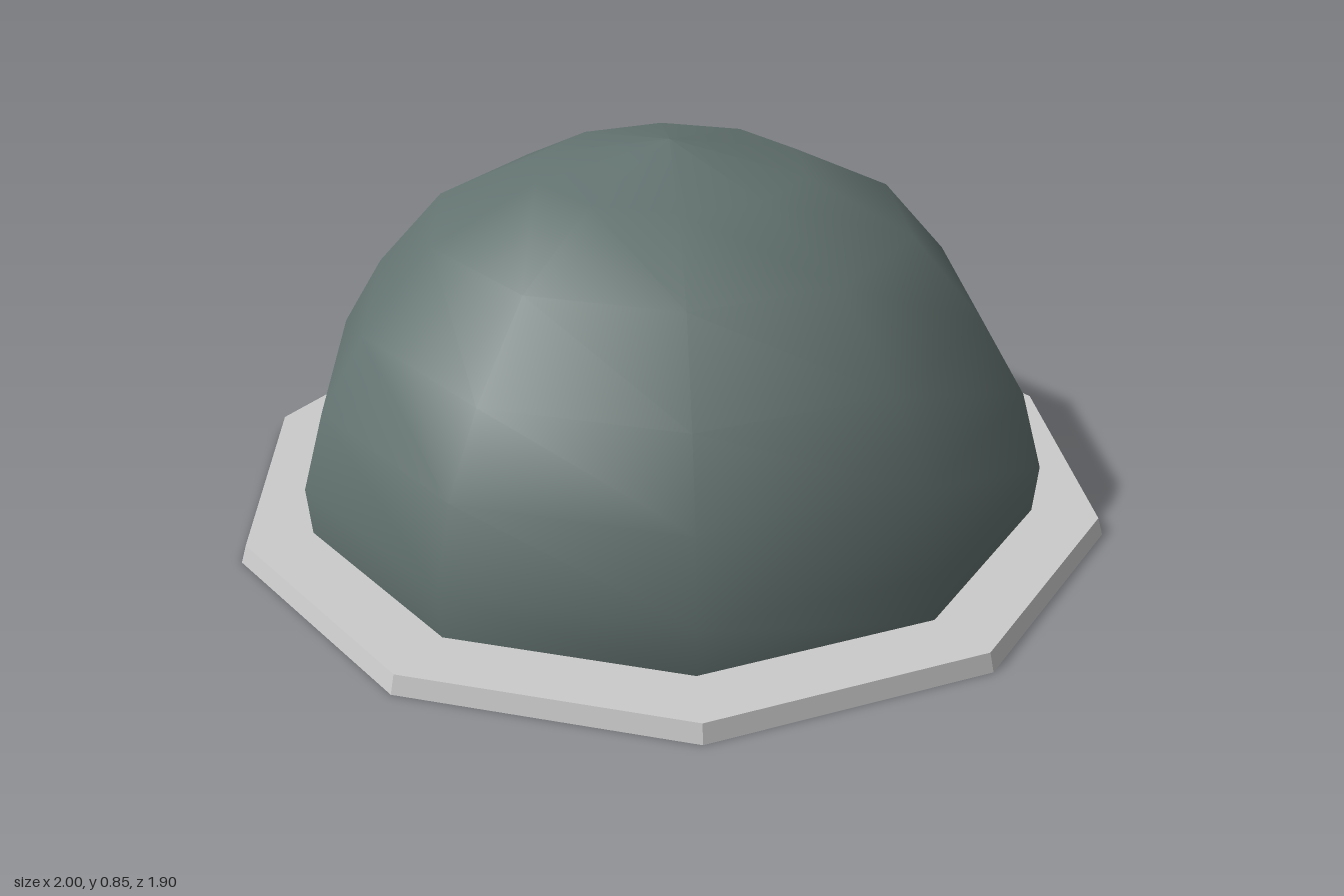
import * as THREE from 'three';

const SIDES = 10;
// Dome profile as [radius, height] at the corners of the decagon
const PROFILE = [[0.84, 0.03], [0.85, 0.15], [0.8, 0.325], [0.7, 0.49], [0.54, 0.67], [0.305, 0.785], [0, 0.845]];

const toVectors = (pairs) => pairs.map(([r, y]) => new THREE.Vector2(r, y));

// Ten-sided turned shape with a corner on +x
function turned(name, pairs, material) {
  const geometry = new THREE.LatheGeometry(toVectors(pairs), SIDES, Math.PI / 2);
  const mesh = new THREE.Mesh(geometry, material);
  mesh.name = name;
  return mesh;
}

export function createModel() {
  const group = new THREE.Group();
  group.name = 'domeSkylight';
  const frame = new THREE.MeshStandardMaterial({ color: 0xcccccc, flatShading: true });
  const glass = new THREE.MeshStandardMaterial({ color: 0x62726f, side: THREE.DoubleSide });

  // Smooth tinted shell
  group.add(turned('domeShell', PROFILE, glass));

  // Flat base flange with a slightly sloped rim
  group.add(turned('baseFlange', [[0.82, 0], [1, 0], [0.988, 0.04], [0.82, 0.04], [0.82, 0]], frame));

  // Inner ring that the ribs meet near the top
  group.add(turned('upperRing', [[0.49, 0.625], [0.53, 0.625], [0.53, 0.662], [0.49, 0.662], [0.49, 0.625]], frame));

  // Curved ribs along the inside corners
  const lower = PROFILE.slice(0, 5);
  const outer = lower.map(([r, y]) => [r * 0.994, y * 0.994]);
  const inner = lower.map(([r, y]) => [r * 0.967, y * 0.967]).reverse();
  const ribGeometry = new THREE.ExtrudeGeometry(new THREE.Shape(toVectors([...outer, ...inner])), {
    depth: 0.02, bevelEnabled: false,
  });
  ribGeometry.translate(0, 0, -0.01);
  const ribs = new THREE.Group();
  ribs.name = 'ribs';
  for (let i = 0; i < SIDES; i++) {
    const rib = new THREE.Mesh(ribGeometry, frame);
    rib.name = 'rib';
    rib.rotation.y = (i / SIDES) * Math.PI * 2;
    ribs.add(rib);
  }
  group.add(ribs);
  return group;
}
